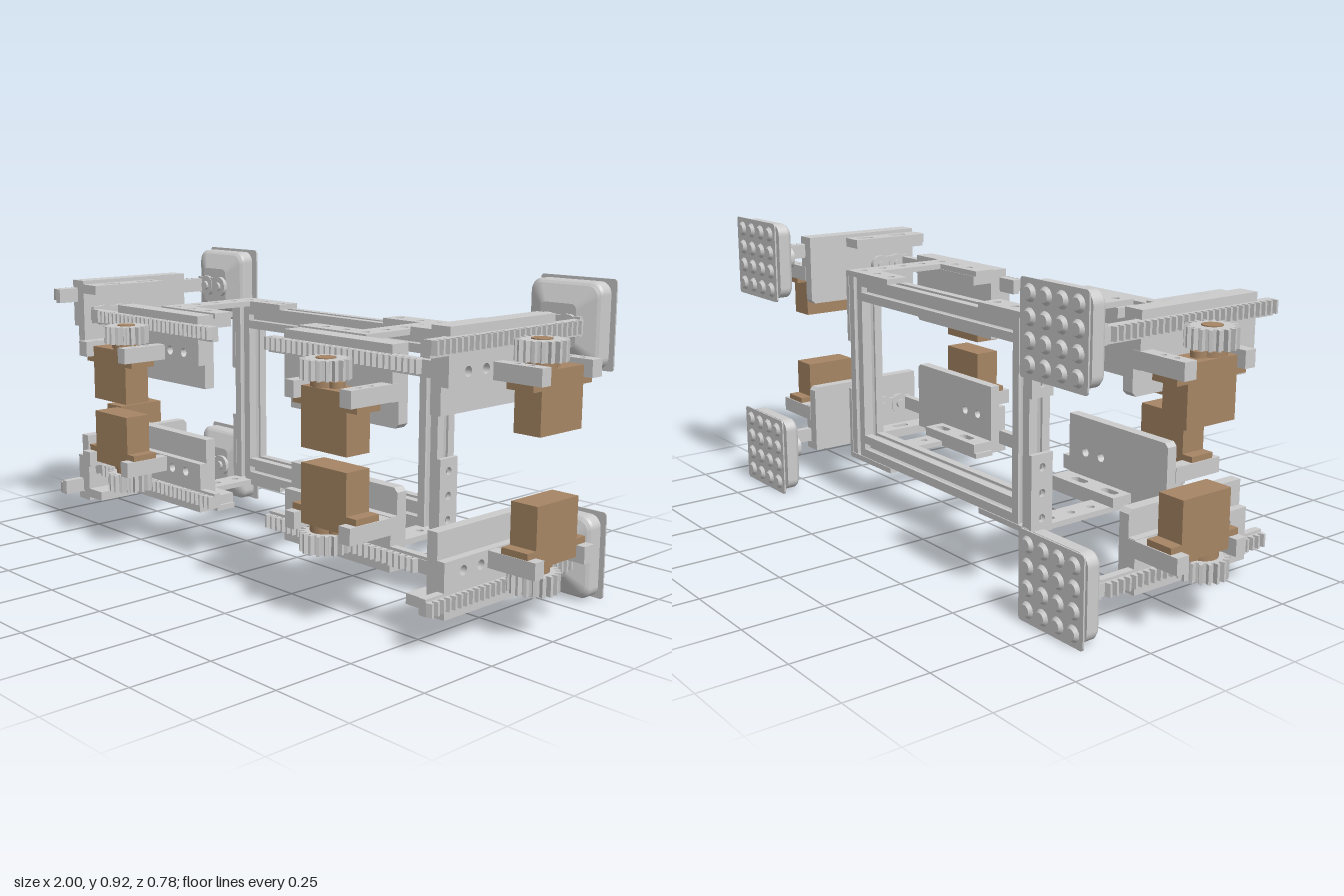
import * as THREE from 'three';

const grey = new THREE.MeshStandardMaterial({ color: 0xcccccc });
const brown = new THREE.MeshStandardMaterial({ color: 0xa68564 });
const MID = 0.464; // height of the mirror plane

function add(parent, name, geometry, material = grey) {
  const mesh = new THREE.Mesh(geometry, material);
  mesh.name = name;
  parent.add(mesh);
  return mesh;
}

// Box given by its limits
function box(x0, x1, y0, y1, z0, z1) {
  return new THREE.BoxGeometry(x1 - x0, y1 - y0, z1 - z0)
    .translate((x0 + x1) / 2, (y0 + y1) / 2, (z0 + z1) / 2);
}

function disc(x, y0, y1, z, r, sides = 24) {
  return new THREE.CylinderGeometry(r, r, y1 - y0, sides).translate(x, (y0 + y1) / 2, z);
}

function outline(points, holes = []) {
  const shape = new THREE.Shape(points.map(([x, y]) => new THREE.Vector2(x, y)));
  // Each hole is [x, y, radius, half length of the straight part]
  for (const [x, y, r, s = 0] of holes) {
    const path = new THREE.Path();
    path.absarc(x + s, y, r, -Math.PI / 2, Math.PI / 2, false);
    path.absarc(x - s, y, r, Math.PI / 2, Math.PI * 1.5, false);
    shape.holes.push(path);
  }
  return shape;
}

const rect = (x0, x1, y0, y1) => [[x0, y0], [x1, y0], [x1, y1], [x0, y1]];

// Upright plate, shape in x and y
function upright(shape, z0, z1) {
  return new THREE.ExtrudeGeometry(shape, { depth: z1 - z0, bevelEnabled: false, curveSegments: 10 })
    .translate(0, 0, z0);
}

// Lying plate, shape in x and z
function flat(shape, y0, y1) {
  return new THREE.ExtrudeGeometry(shape, { depth: y1 - y0, bevelEnabled: false, curveSegments: 10 })
    .rotateX(Math.PI / 2).translate(0, y1, 0);
}

function roundedSquare(h, r) {
  const s = new THREE.Shape(), k = h - r;
  s.absarc(k, k, r, 0, Math.PI / 2);
  s.absarc(-k, k, r, Math.PI / 2, Math.PI);
  s.absarc(-k, -k, r, Math.PI, Math.PI * 1.5);
  s.absarc(k, -k, r, Math.PI * 1.5, Math.PI * 2);
  return s;
}

function gearShape(teeth, root, tip) {
  const pts = [];
  for (let i = 0; i < teeth; i++) {
    for (const [f, r] of [[-0.3, root], [-0.16, tip], [0.16, tip], [0.3, root]]) {
      const a = (i + f) / teeth * Math.PI * 2;
      pts.push([Math.cos(a) * r, Math.sin(a) * r]);
    }
  }
  return outline(pts);
}

// Servo driven slide: gear axis on x = z = 0, rack along x, teeth towards +z
function createSlide(rackEnd) {
  const g = new THREE.Group();
  const bolts = [[-0.185, 0.725, 0.014], [-0.115, 0.725, 0.014]];
  const plate = [[-0.26, 0.615], [0.153, 0.615], [0.165, 0.627], [0.165, 0.84], [-0.26, 0.84]];
  add(g, 'slidePlate', upright(outline(plate, bolts), -0.145, -0.11));
  add(g, 'slideBody', upright(outline(rect(-0.26, 0.165, 0.69, 0.777), bolts), -0.11, -0.085));
  add(g, 'rackCover', box(-0.26, 0.165, 0.82, 0.845, -0.145, -0.083));
  add(g, 'slideFlange', flat(outline(rect(-0.26, 0.02, -0.217, -0.145),
    [[-0.17, -0.18, 0.014, 0.018], [-0.035, -0.18, 0.014, 0.018]]), 0.803, 0.833));

  // Rack bar with teeth
  const teeth = [[-0.33, -0.108]];
  const pitch = 0.0225, count = 27;
  for (let i = 0; i < count; i++) {
    const x = -0.33 + i * pitch;
    teeth.unshift([x, -0.082], [x + 0.004, -0.065], [x + 0.011, -0.065], [x + 0.015, -0.082]);
    // keep tooth corners in walking order
    const four = teeth.splice(0, 4).reverse();
    teeth.unshift(...four);
  }
  teeth.unshift([rackEnd, -0.108], [rackEnd, -0.082]);
  add(g, 'rack', flat(outline(teeth), 0.78, 0.818));
  add(g, 'rackFoot', box(-0.33, rackEnd, 0.772, 0.782, -0.108, -0.085));

  // Link at the moving end, with two bolts
  const link = roundedSquare(0.034, 0.03);
  add(g, 'rackLink', box(rackEnd - 0.012, rackEnd, 0.77, 0.825, -0.2, -0.085));
  for (const z of [-0.2, -0.13]) {
    add(g, 'linkEye', upright(link, 0, 0.014).rotateY(Math.PI / 2).translate(rackEnd - 0.014, 0.795, z));
    add(g, 'linkBolt', disc(0, 0, 0.01, 0, 0.015).rotateZ(Math.PI / 2).translate(rackEnd - 0.013, 0.795, z));
  }

  // Two arms carrying the servo
  for (const [x0, x1] of [[-0.087, -0.05], [0.125, 0.167]]) {
    add(g, 'servoArm', flat(outline(rect(x0, x1, -0.11, 0.07),
      [[(x0 + x1) / 2, 0.022, 0.008], [(x0 + x1) / 2, -0.022, 0.008]]), 0.692, 0.74));
  }
  add(g, 'servoBody', box(-0.05, 0.125, 0.555, 0.725, -0.043, 0.043), brown);
  add(g, 'servoFlange', box(-0.085, 0.163, 0.674, 0.692, -0.043, 0.043), brown);
  add(g, 'servoBoss', disc(0, 0.72, 0.745, 0, 0.042), brown);
  add(g, 'servoSmallBoss', disc(0.045, 0.72, 0.742, 0, 0.022), brown);
  add(g, 'servoShaft', disc(0, 0.74, 0.803, 0, 0.028), brown);
  add(g, 'gear', flat(gearShape(18, 0.056, 0.071), 0.745, 0.8));
  return g;
}

// Tapered pad with a studded sheet behind it
function createPad() {
  const g = new THREE.Group();
  const body = new THREE.ExtrudeGeometry(roundedSquare(0.122, 0.035),
    { depth: 4, steps: 4, bevelEnabled: false, curveSegments: 6 });
  const levels = [[-0.363, 1], [-0.328, 1], [-0.321, 0.97], [-0.314, 0.91], [-0.288, 0.5]];
  const p = body.attributes.position;
  for (let i = 0; i < p.count; i++) {
    const [z, s] = levels[Math.round(p.getZ(i))];
    p.setXYZ(i, p.getX(i) * s, p.getY(i) * s, z);
  }
  body.computeVertexNormals();
  add(g, 'pad', body);
  add(g, 'padSheet', upright(roundedSquare(0.129, 0.01), -0.382, -0.377));
  for (let i = 0; i < 4; i++) {
    for (let j = 0; j < 4; j++) {
      add(g, 'padStud', new THREE.CylinderGeometry(0.024, 0.016, 0.01, 16).rotateX(Math.PI / 2)
        .translate((i - 1.5) * 0.061, (j - 1.5) * 0.061, -0.387));
    }
  }
  g.position.set(0.763, 0.796, 0);
  return g;
}

// Slotted square profile, lying along z
function profile(length) {
  const h = 0.037, pts = [];
  const side = [[-h, -h], [-0.01, -h], [-0.01, -0.029], [-0.021, -0.029], [-0.009, -0.016],
    [0.009, -0.016], [0.021, -0.029], [0.01, -0.029], [0.01, -h]];
  for (let k = 0; k < 4; k++) {
    const c = [1, 0, -1, 0][k], s = [0, 1, 0, -1][k];
    for (const [x, y] of side) pts.push([x * c - y * s, x * s + y * c]);
  }
  return upright(outline(pts, [[0, 0, 0.007]]), -length / 2, length / 2);
}

// Copy of a group reflected across the side and/or middle plane
function reflect(source, sx, sy) {
  const out = new THREE.Group();
  const m = new THREE.Matrix4().makeScale(sx, sy, 1);
  m.setPosition(0, sy < 0 ? 2 * MID : 0, 0);
  source.updateMatrixWorld(true);
  source.traverse((o) => {
    if (!o.isMesh) return;
    const geo = o.geometry.index ? o.geometry.toNonIndexed() : o.geometry.clone();
    geo.applyMatrix4(new THREE.Matrix4().multiplyMatrices(m, o.matrixWorld));
    if (sx * sy < 0) {
      for (const a of Object.values(geo.attributes)) {
        const n = a.itemSize, d = a.array;
        for (let i = 0; i < d.length; i += 3 * n) {
          for (let k = 0; k < n; k++) [d[i + n + k], d[i + 2 * n + k]] = [d[i + 2 * n + k], d[i + n + k]];
        }
      }
    }
    add(out, o.name, geo, o.material);
  });
  return out;
}

export function createModel() {
  const model = new THREE.Group();
  const corner = new THREE.Group();

  const frontSlide = createSlide(0.325);
  frontSlide.position.set(0.46, -0.07, 0.315);
  const sideSlide = createSlide(0.29);
  sideSlide.position.set(0.93, 0, 0);
  sideSlide.rotation.y = Math.PI / 2;
  corner.add(frontSlide, sideSlide, createPad());

  // Plates joining the frame and the front slide
  const arm = [[0.235, -0.212], [0.468, -0.212], [0.468, 0.17], [0.19, 0.17],
    [0.19, 0.1], [0.385, 0.1], [0.385, -0.135], [0.235, -0.135]];
  const holes = [-0.172, -0.1, -0.022, 0.055, 0.135].map((z) => [0.43, z, 0.012]);
  for (const x of [0.27, 0.352]) holes.push([x, -0.172, 0.012], [x, 0.135, 0.012]);
  add(corner, 'topBracket', flat(outline(arm, holes), 0.763, 0.78));
  add(corner, 'sideBracket', flat(outline(rect(-0.778, -0.545, -0.211, -0.134),
    [0.735, 0.66, 0.585].map((y) => [-y, -0.172, 0.012])), 0.463, 0.477).rotateZ(-Math.PI / 2));

  for (const sx of [1, -1]) {
    for (const sy of [1, -1]) {
      const quarter = reflect(corner, sx, sy);
      quarter.name = (sy > 0 ? 'upper' : 'lower') + (sx > 0 ? 'Left' : 'Right') + 'Leg';
      model.add(quarter);
    }
  }

  // Rectangular frame
  for (const s of [1, -1]) {
    add(model, 'framePost', profile(0.598).rotateX(Math.PI / 2).translate(s * 0.426, MID, -0.172));
    add(model, 'frameBeam', profile(0.778).rotateY(Math.PI / 2).translate(0, MID + s * 0.262, -0.172));
  }
  return model;
}
